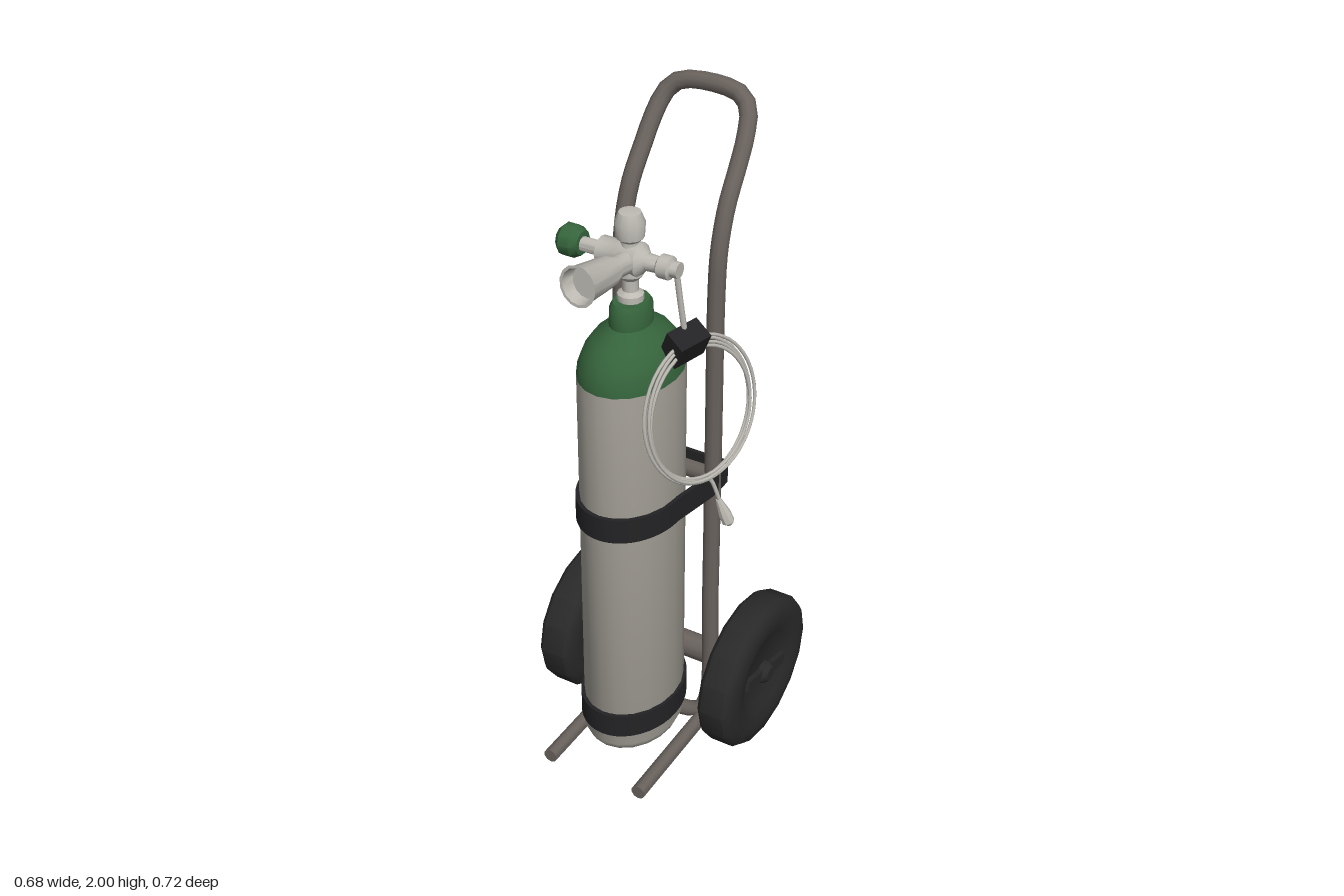
import * as THREE from 'three';
import { toCreasedNormals } from 'three/addons/utils/BufferGeometryUtils.js';

const mat = (name, color) => Object.assign(new THREE.MeshStandardMaterial({ color }), { name });
const V = (x, y, z) => new THREE.Vector3(x, y, z);

export function createModel() {
  const group = new THREE.Group();
  const frame = mat('frame brown grey', 0x69625d);
  const steel = mat('cylinder grey', 0xa8a49b);
  const fitting = mat('fitting light grey', 0xbdbab3);
  const green = mat('green', 0x35633b);
  const rubber = mat('tyre black', 0x292929);
  const webbing = mat('strap black', 0x232325);

  const add = (name, geometry, material, parent = group) => {
    const mesh = new THREE.Mesh(geometry, material);
    mesh.name = name;
    parent.add(mesh);
    return mesh;
  };
  // Turned part: profile of [radius, distance], running from a point along a direction
  const turned = (name, profile, material, from, dir, sides = 14, parent = group) => {
    const points = profile.map(([r, d]) => new THREE.Vector2(r, d));
    const mesh = add(name, toCreasedNormals(new THREE.LatheGeometry(points, sides), 0.7), material, parent);
    mesh.position.copy(from);
    mesh.quaternion.setFromUnitVectors(V(0, 1, 0), dir.clone().normalize());
    return mesh;
  };
  const rod = (name, a, b, r, material, sides = 10) => {
    const dir = b.clone().sub(a), l = dir.length();
    return turned(name, [[0, 0], [r, 0], [r, l], [0, l]], material, a, dir, sides);
  };
  const tube = (name, points, r, material, steps, sides = 8, closed = false) =>
    add(name, new THREE.TubeGeometry(
      new THREE.CatmullRomCurve3(points, closed, 'centripetal'), steps, r, sides, closed), material);

  // Bent frame: one closed loop with a swept-back handle and a bottom crossbar
  const side = [
    [0.10, 0.045, -0.035], [0.138, 0.06, -0.045], [0.147, 0.11, -0.065], [0.147, 0.5, -0.07],
    [0.147, 1.0, -0.07], [0.147, 1.5, -0.07], [0.147, 1.62, -0.08], [0.146, 1.73, -0.117],
    [0.143, 1.82, -0.18], [0.138, 1.89, -0.23], [0.122, 1.945, -0.268], [0.085, 1.974, -0.285]];
  tube('frame', [
    ...side.map(([x, y, z]) => V(x, y, z)),
    ...side.slice().reverse().map(([x, y, z]) => V(-x, y, z))], 0.025, frame, 120, 10, true);

  for (const s of [-1, 1]) {
    rod('baseFork', V(s * 0.15, 0.043, -0.05), V(s * 0.152, 0.043, 0.358), 0.022, frame);
  }
  rod('frameCrossbar', V(-0.147, 0.91, -0.07), V(0.147, 0.91, -0.07), 0.025, frame);
  rod('axle', V(-0.16, 0.233, -0.105), V(0.16, 0.233, -0.105), 0.04, frame);

  // Wheels, slightly longer than tall, with recessed hubs
  for (const s of [-1, 1]) {
    const wheel = new THREE.Group();
    wheel.name = s > 0 ? 'leftWheel' : 'rightWheel';
    wheel.position.set(s * 0.274, 0.233, -0.106);
    wheel.scale.z = 1.12;
    group.add(wheel);
    const out = V(s, 0, 0);
    turned('tyre', [
      [0, -0.035], [0.1, -0.035], [0.13, -0.05], [0.165, -0.058], [0.19, -0.057], [0.217, -0.05],
      [0.228, -0.036], [0.228, 0.036], [0.217, 0.05], [0.19, 0.057], [0.165, 0.058], [0.13, 0.05],
      [0.1, 0.035], [0, 0.035]], rubber, V(0, 0, 0), out, 16, wheel);
    turned('hubCap', [[0.034, 0.03], [0.034, 0.05], [0.022, 0.064], [0, 0.064]],
      rubber, V(0, 0, 0), out, 10, wheel);
    const blade = add('hubBlade', new THREE.BoxGeometry(0.018, 0.036, 0.21), rubber, wheel);
    blade.position.x = s * 0.042;
    blade.rotation.x = -0.24;
    turned('axleSleeve', [[0.042, -0.125], [0.042, -0.1], [0.03, -0.09], [0.03, -0.07], [0.045, -0.062],
      [0.045, -0.03]], frame, V(0, 0, 0), out, 12, wheel);
  }

  // Gas cylinder with a green shoulder and neck, oval in plan
  const cx = -0.003, cz = 0.118, up = V(0, 1, 0);
  turned('tankBody', [[0, 0.085], [0.105, 0.085], [0.125, 0.095], [0.136, 0.12], [0.136, 1.325]],
    steel, V(cx, 0, cz), up, 20).scale.z = 1.3;
  turned('tankShoulder', [[0.136, 1.325], [0.132, 1.36], [0.119, 1.395], [0.097, 1.428], [0.07, 1.45],
    [0.055, 1.465], [0.053, 1.515], [0.045, 1.53], [0, 1.53]],
  green, V(cx, 0, cz), up, 20).scale.z = 1.3;

  // Straps: flat bands with an open middle
  const band = (name, outline, hole, y, h) => {
    outline.holes.push(hole);
    const geometry = new THREE.ExtrudeGeometry(outline, { depth: h, bevelEnabled: false, curveSegments: 20 });
    geometry.rotateX(Math.PI / 2);
    add(name, toCreasedNormals(geometry, 0.6), webbing).position.y = y + h;
  };
  const wrap = (Type, t) => {
    const p = new Type();
    p.moveTo(-0.17 + t, -0.117 + t);
    p.lineTo(0.17 - t, -0.117 + t);
    p.lineTo(0.17 - t, -0.035);
    p.lineTo(cx + 0.146 - t, cz);
    p.absellipse(cx, cz, 0.146 - t, 0.188 - t, 0, Math.PI, false, 0);
    p.lineTo(-0.17 + t, -0.035);
    p.closePath();
    return p;
  };
  const oval = (Type, t) => {
    const p = new Type();
    p.absellipse(cx, cz, 0.144 - t, 0.188 - t, 0, Math.PI * 2, false, 0);
    return p;
  };
  band('upperStrap', wrap(THREE.Shape, 0), wrap(THREE.Path, 0.012), 0.868, 0.075);
  band('lowerStrap', oval(THREE.Shape, 0), oval(THREE.Path, 0.012), 0.163, 0.075);

  // Valve and regulator
  const vy = 1.65;
  turned('valveStem', [[0.036, 1.525], [0.036, 1.548], [0.022, 1.558], [0.022, 1.59], [0.036, 1.605],
    [0.036, 1.66], [0.024, 1.685], [0.024, 1.7], [0.038, 1.712], [0.041, 1.755], [0.03, 1.782], [0, 1.786]],
  fitting, V(-0.005, 0, cz), up, 12);
  turned('valveBody', [[0, -0.155], [0.02, -0.155], [0.02, -0.098], [0.038, -0.094], [0.038, -0.045],
    [0.046, -0.03], [0.046, 0.025], [0.024, 0.045], [0.022, 0.078], [0.032, 0.085], [0.032, 0.115],
    [0.022, 0.12], [0.022, 0.14], [0, 0.14]], fitting, V(0, vy, 0.115), V(1, 0, 0), 12);
  turned('valveKnob', [[0, -0.218], [0.032, -0.218], [0.045, -0.204], [0.045, -0.172], [0.034, -0.152],
    [0, -0.148]], green, V(0, vy, 0.112), V(1, 0, 0), 10);
  turned('regulatorCup', [[0, 0], [0.03, 0], [0.03, 0.055], [0.042, 0.085], [0.052, 0.2], [0.057, 0.206],
    [0.049, 0.206], [0.043, 0.17], [0, 0.17]], fitting, V(0, vy, 0.14), V(-0.022, 0.018, 0.205), 14);

  // Hose, clip and coiled line with a tapered end
  tube('hose', [V(0.13, 1.65, 0.115), V(0.138, 1.56, 0.108), V(0.15, 1.45, 0.1)], 0.008, fitting, 8, 6);
  const clip = add('hoseClip', new THREE.BoxGeometry(0.065, 0.085, 0.1), webbing);
  clip.position.set(0.15, 1.432, 0.1);
  clip.rotation.set(0.12, -0.35, -0.45);

  for (let i = 0; i < 4; i++) {
    const points = [], shift = (i - 1.5) * 0.008;
    for (let k = 0; k < 16; k++) {
      const a = k / 16 * Math.PI * 2;
      const y = Math.sin(a) * (0.202 + shift * 0.9), z = Math.cos(a) * (0.175 + shift * 0.7);
      points.push(V(0.192 - 0.28 * z - 0.13 * y + shift * Math.cos(a + i), 1.228 + y + shift * 0.4, 0.088 + z));
    }
    tube('coiledLine', points, 0.005, fitting, 48, 6, true);
  }
  tube('lineTail', [V(0.2, 1.03, 0.12), V(0.217, 1.015, 0.08), V(0.242, 0.93, 0.058)], 0.006, fitting, 10, 6);
  turned('lineEnd', [[0, 0], [0.008, 0], [0.018, 0.05], [0.018, 0.08], [0.008, 0.09], [0, 0.09]],
    fitting, V(0.237, 0.942, 0.062), V(0.03, -0.085, -0.015), 8);

  return group;
}
